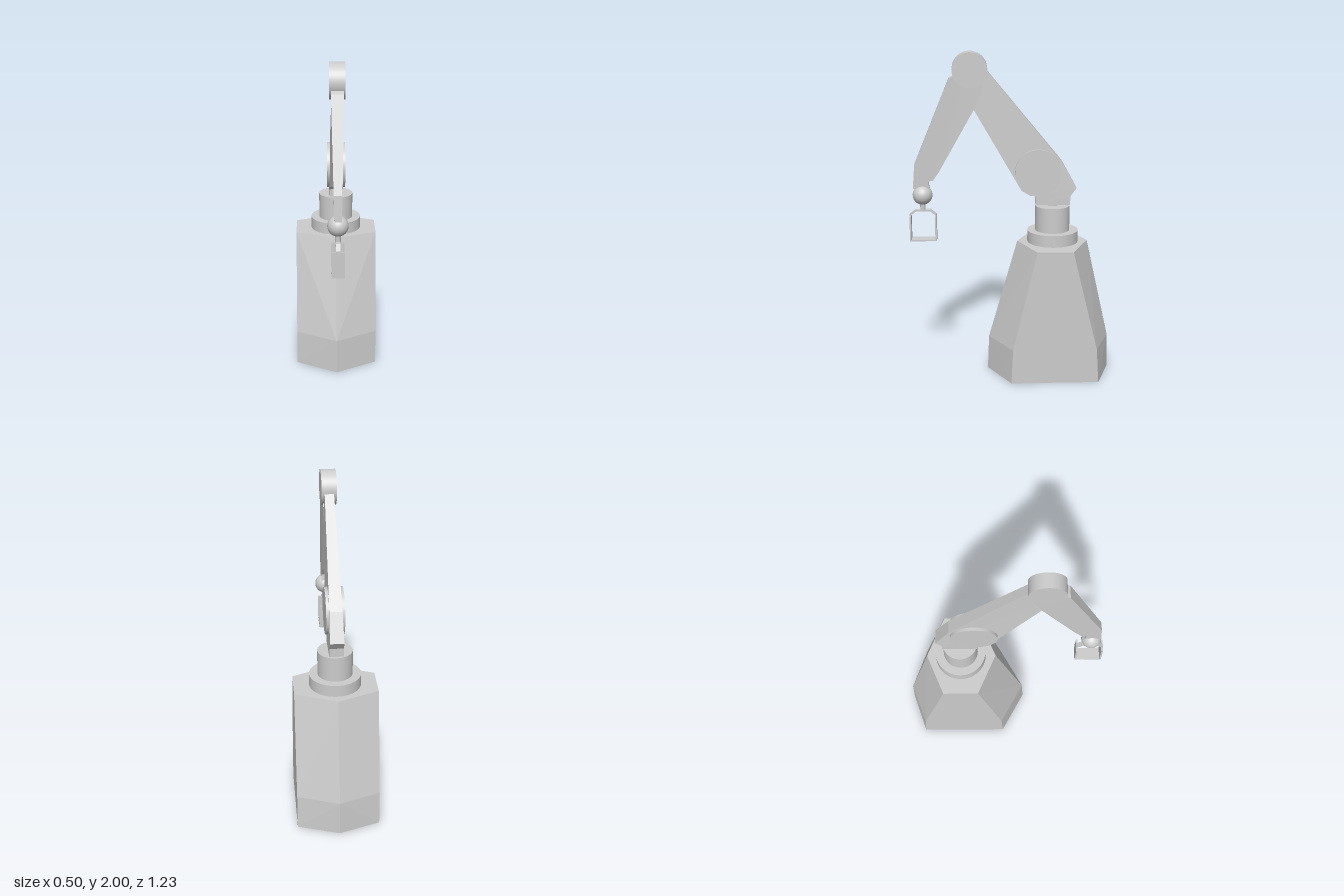
import * as THREE from 'three';
import { ConvexGeometry } from 'three/addons/geometries/ConvexGeometry.js';

export function createModel() {
  const root = new THREE.Group();
  const mat = new THREE.MeshStandardMaterial({ color: 0xcccccc });

  const add = (name, geometry, x = 0, y = 0, z = 0) => {
    const mesh = new THREE.Mesh(geometry, mat);
    mesh.name = name;
    mesh.position.set(x, y, z);
    root.add(mesh);
    return mesh;
  };

  // Side profile in (z, y), thickened across x; half-width eases with height
  const plate = (points, yLow, halfLow, yHigh, halfHigh) => {
    const shape = new THREE.Shape(points.map(([z, y]) => new THREE.Vector2(z, y)));
    const geo = new THREE.ExtrudeGeometry(shape, { depth: 2, bevelEnabled: false });
    geo.translate(0, 0, -1).rotateY(-Math.PI / 2);
    const p = geo.attributes.position;
    for (let i = 0; i < p.count; i++) {
      const t = THREE.MathUtils.clamp((p.getY(i) - yLow) / (yHigh - yLow), 0, 1);
      p.setX(i, Math.sign(p.getX(i)) * THREE.MathUtils.lerp(halfLow, halfHigh, t));
    }
    geo.computeVertexNormals();
    return geo;
  };
  const disc = (r, width) => new THREE.CylinderGeometry(r, r, width, 48).rotateZ(Math.PI / 2);

  // Pedestal: hexagonal rings [y, front tip, front side, back side, back tip]
  const corners = [];
  for (const [y, f, fs, bs, b] of [
    [0, 0.145, 0.005, -0.53, -0.615],
    [0.215, 0.137, -0.005, -0.517, -0.61],
    [0.84, -0.04, -0.15, -0.365, -0.47],
  ]) {
    corners.push(new THREE.Vector3(0, y, f), new THREE.Vector3(0, y, b));
    for (const x of [-0.25, 0.25])
      corners.push(new THREE.Vector3(x, y, fs), new THREE.Vector3(x, y, bs));
  }
  add('pedestal', new ConvexGeometry(corners));

  // Turntable
  add('collar', new THREE.CylinderGeometry(0.155, 0.155, 0.075, 48), 0, 0.875, -0.257);
  add('turret', new THREE.CylinderGeometry(0.105, 0.105, 0.16, 48), 0, 0.987, -0.255);
  add('turretPin', new THREE.CylinderGeometry(0.03, 0.03, 0.03, 24), 0, 1.07, -0.255);

  // Upper arm with its foot, and the two pivots
  add('upperArm', plate([
    [0.15, 1.9], [-0.31, 1.34], [-0.397, 1.18], [-0.36, 1.13], [-0.36, 1.077],
    [-0.15, 1.077], [-0.15, 1.132], [-0.117, 1.135], [-0.064, 1.167],
    [0.22, 1.66], [0.3, 1.84], [0.23, 1.93],
  ], 1.15, 0.042, 1.85, 0.027));
  add('shoulderPivot', disc(0.14, 0.11), 0, 1.28, -0.165);
  add('elbowPivot', disc(0.105, 0.09), 0, 1.895, 0.243);

  // Forearm
  add('forearm', plate([
    [0.366, 1.846], [0.58, 1.33], [0.592, 1.18], [0.49, 1.17], [0.5, 1.225],
    [0.47, 1.23], [0.435, 1.28], [0.22, 1.66], [0.16, 1.8], [0.25, 1.9],
  ], 1.18, 0.021, 1.88, 0.037));

  // Wrist
  add('wristBall', new THREE.SphereGeometry(0.06, 32, 24), 0, 1.138, 0.535);
  add('wristStem', new THREE.CylinderGeometry(0.016, 0.016, 0.06, 16), 0, 1.066, 0.535);

  // Gripper: narrow arched bracket above, two wide jaws and a closing plate below
  const mid = 0.534;
  const bracket = [
    [-0.082, 1.005], [-0.082, 1.018], [-0.046, 1.047], [0.046, 1.047], [0.082, 1.018], [0.082, 1.005],
    [0.072, 1.005], [0.072, 1.013], [0.042, 1.037], [-0.042, 1.037], [-0.072, 1.013], [-0.072, 1.005],
  ].map(([z, y]) => [z + mid, y]);
  add('gripperBracket', plate(bracket, 1, 0.013, 1.05, 0.013));
  for (const s of [-1, 1])
    add(s > 0 ? 'frontJaw' : 'backJaw', new THREE.BoxGeometry(0.076, 0.155, 0.01), 0, 0.9325, mid + s * 0.077);
  add('gripperFloor', new THREE.BoxGeometry(0.076, 0.008, 0.15), 0, 0.859, mid);

  return root;
}
